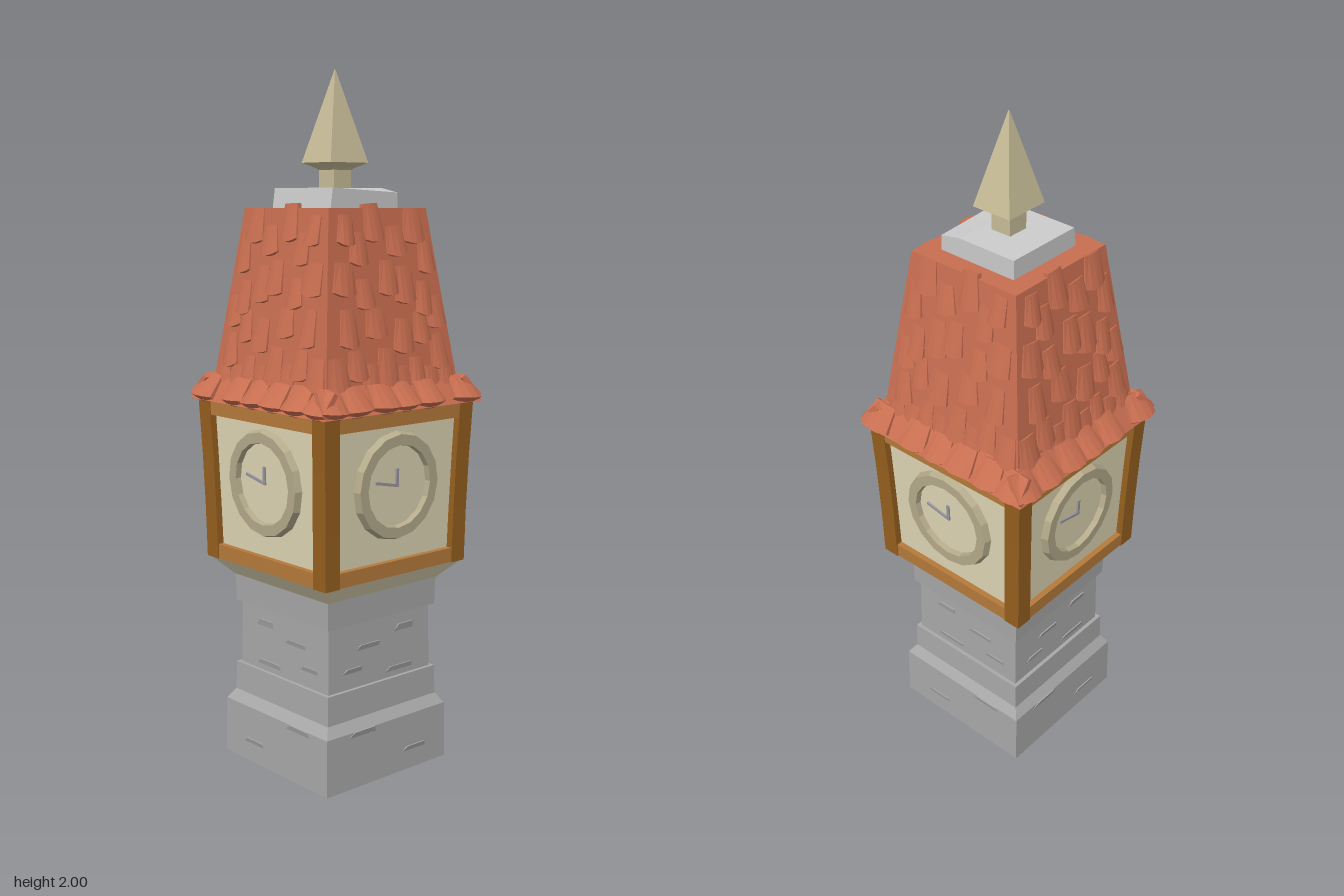
import * as THREE from 'three';

const mat = (color) => new THREE.MeshStandardMaterial({ color, flatShading: true });
const M = {
  stone: mat(0xa8a8a8), cap: mat(0xcccccc), roof: mat(0xc86e50), post: mat(0x96601f),
  beam: mat(0xb57a3a), cream: mat(0xe0d6b4), trim: mat(0xb5ab8c), finial: mat(0xc8bd98), hand: mat(0x9a98a0),
};

function add(parent, name, geometry, material, x = 0, y = 0, z = 0) {
  const mesh = new THREE.Mesh(geometry, material);
  mesh.name = name;
  mesh.position.set(x, y, z);
  parent.add(mesh);
  return mesh;
}

// Square tower section: profile of [half width, height] pairs, bottom to top, closed at both ends
function square(profile) {
  const pts = profile.map(([h, y]) => new THREE.Vector2(h * Math.SQRT2, y));
  pts.unshift(new THREE.Vector2(0, profile[0][1]));
  pts.push(new THREE.Vector2(0, profile[profile.length - 1][1]));
  return new THREE.LatheGeometry(pts, 4, Math.PI / 4);
}

// Move every vertex of a geometry by a rule
function bend(geometry, rule) {
  const p = geometry.attributes.position, v = new THREE.Vector3();
  for (let i = 0; i < p.count; i++) {
    rule(v.fromBufferAttribute(p, i));
    p.setXYZ(i, v.x, v.y, v.z);
  }
  geometry.computeVertexNormals();
  return geometry;
}

// Barrel-fronted roof tile, narrow and thin at the top, wide and thick at the bottom
function tileGeometry(w, h, thick) {
  return bend(new THREE.BoxGeometry(1, 1, 1, 4, 1, 1), (v) => {
    const low = v.y < 0, arch = 1 - 2.4 * v.x * v.x;
    const front = v.z > 0;
    v.z = front ? (low ? thick : thick * 0.3) * arch : -0.012;
    v.y = v.y * h + (low ? v.x * v.x * 0.04 : 0);
    v.x *= w * (low ? 1 : 0.72);
  });
}

// Four copies of a face, turned about the tower axis
function fourSides(parent, name, build) {
  for (let i = 0; i < 4; i++) {
    const side = new THREE.Group();
    side.name = name + (i + 1);
    side.rotation.y = i * Math.PI / 2;
    build(side, i);
    parent.add(side);
  }
}

export function createModel() {
  const tower = new THREE.Group();
  tower.name = 'clockTower';

  // Stone shaft with plinth and bands
  add(tower, 'plinth', square([[0.232, 0], [0.23, 0.165], [0.21, 0.195]]), M.stone);
  add(tower, 'lowerBand', square([[0.21, 0.19], [0.208, 0.28]]), M.stone);
  add(tower, 'shaft', square([[0.197, 0.27], [0.194, 0.48]]), M.stone);
  add(tower, 'upperBand', square([[0.207, 0.47], [0.209, 0.55]]), M.stone);
  add(tower, 'corbel', square([[0.21, 0.55], [0.262, 0.605]]), M.cream);

  // Shallow worn stone chips: [x, y, width, height, wall half width]
  const chips = [[-0.1, 0.155, 0.11, 0.02, 0.229], [0.1, 0.06, 0.1, 0.018, 0.23], [0.07, 0.3, 0.12, 0.022, 0.195],
    [-0.05, 0.39, 0.1, 0.02, 0.194], [0.09, 0.42, 0.08, 0.025, 0.194], [-0.11, 0.33, 0.08, 0.018, 0.195]];
  fourSides(tower, 'stoneChips', (side, i) => {
    chips.forEach(([x, y, w, h, z]) => {
      const chip = bend(new THREE.BoxGeometry(w, h, 0.01), (v) => {
        if (v.y > 0) v.x = v.x * 0.7 + 0.01;
        if (v.y < 0 && v.z > 0) v.z = 0;
      });
      add(side, 'chip', chip, M.stone, i % 2 ? -x : x, y, z);
    });
  });

  // Clock room, widening slightly upwards
  add(tower, 'clockRoom', square([[0.245, 0.603], [0.26, 1.08]]), M.cream);
  const lean = Math.atan(0.015 / 0.475);
  const ring = new THREE.LatheGeometry([[0.115, 0], [0.118, 0.02], [0.148, 0.02], [0.155, 0]]
    .map(([r, y]) => new THREE.Vector2(r, y)).reverse(), 16);
  ring.rotateX(Math.PI / 2);
  fourSides(tower, 'clockSide', (side) => {
    add(side, 'bottomBeam', new THREE.BoxGeometry(0.46, 0.042, 0.03), M.beam, 0, 0.626, 0.249);
    add(side, 'topBeam', new THREE.BoxGeometry(0.48, 0.045, 0.03), M.beam, 0, 1.053, 0.262);

    // Corner post with an outward lean
    const post = bend(new THREE.BoxGeometry(0.052, 0.476, 0.052, 1, 3, 1), (v) => {
      const k = 0.241 + (v.y + 0.238) * 0.03 + (Math.abs(v.y) < 0.1 ? -0.002 : 0);
      v.x += k;
      v.z += k;
    });
    add(side, 'cornerPost', post, M.post, 0, 0.842, 0);

    // Dial, rim and hands
    const clock = new THREE.Group();
    clock.name = 'clock';
    clock.position.set(0, 0.86, 0.253);
    clock.rotation.x = lean;
    side.add(clock);
    add(clock, 'rim', ring, M.trim);
    add(clock, 'dial', new THREE.CircleGeometry(0.117, 16), M.cream, 0, 0, 0.003);
    const long = add(clock, 'longHand', new THREE.BoxGeometry(0.085, 0.008, 0.005), M.hand, -0.04, 0.009, 0.008);
    long.rotation.z = -0.2;
    add(clock, 'shortHand', new THREE.BoxGeometry(0.009, 0.052, 0.005), M.hand, 0, 0.023, 0.008);
  });

  // Roof: flared eaves and steep upper slope
  add(tower, 'roof', square([[0.3, 1.075], [0.245, 1.15], [0.181, 1.62]]), M.roof);
  const steep = Math.atan(0.064 / 0.47), flare = Math.atan(0.055 / 0.075);
  const slopeAt = (y) => 0.245 - (y - 1.15) * 0.064 / 0.47;

  // Scattered tiles on the slope: [x, y]
  const tiles = [[-0.13, 1.56], [-0.03, 1.58], [0.12, 1.57], [-0.09, 1.51], [0.05, 1.53], [0.16, 1.49],
    [0.01, 1.43], [-0.15, 1.43], [-0.08, 1.39], [0.07, 1.41], [0.14, 1.37], [0.18, 1.33], [-0.05, 1.31],
    [-0.15, 1.3], [0.05, 1.27], [0.12, 1.29], [-0.13, 1.2], [-0.02, 1.19], [0.18, 1.22], [-0.2, 1.18],
    [0.09, 1.17], [-0.08, 1.15], [0.03, 1.14], [0.2, 1.15], [0.14, 1.14]];
  const eaves = [-0.255, -0.17, -0.07, 0.01, 0.1, 0.24];
  fourSides(tower, 'roofTiles', (side, i) => {
    const flip = i % 2 ? -1 : 1;
    tiles.forEach(([x, y], n) => {
      const g = tileGeometry(0.062 + (n * 7 % 5) * 0.005, 0.085 + (n * 3 % 4) * 0.007, 0.017);
      const tile = add(side, 'tile', g, M.roof, x * flip, y, slopeAt(y));
      tile.rotation.set(-steep, 0, ((n * 5 % 7) - 3) * 0.03);
    });
    eaves.forEach((x, n) => {
      const g = tileGeometry(0.092 + (n % 3) * 0.006, 0.085, 0.022);
      const tile = add(side, 'eaveTile', g, M.roof, x * flip, 1.112, 0.277);
      tile.rotation.set(-flare, 0, ((n * 3 % 5) - 2) * 0.04);
    });
  });

  // Cap slab with one worn corner
  const cap = bend(new THREE.BoxGeometry(0.25, 0.056, 0.25, 4, 1, 4), (v) => {
    if (v.y > 0 && v.z > 0.1) v.y -= 0.006 + v.x * 0.05;
    if (v.y > 0 && v.x < -0.1) v.x += 0.008;
  });
  add(tower, 'capSlab', cap, M.cap, 0, 1.647, 0);

  // Finial
  add(tower, 'finialStem', square([[0.032, 1.67], [0.032, 1.725], [0.04, 1.732]]), M.finial);
  const spike = square([[0.035, 1.728], [0.07, 1.745], [0.001, 2]]);
  spike.scale(1, 1, 0.89);
  add(tower, 'finialSpike', spike, M.finial);

  return tower;
}
